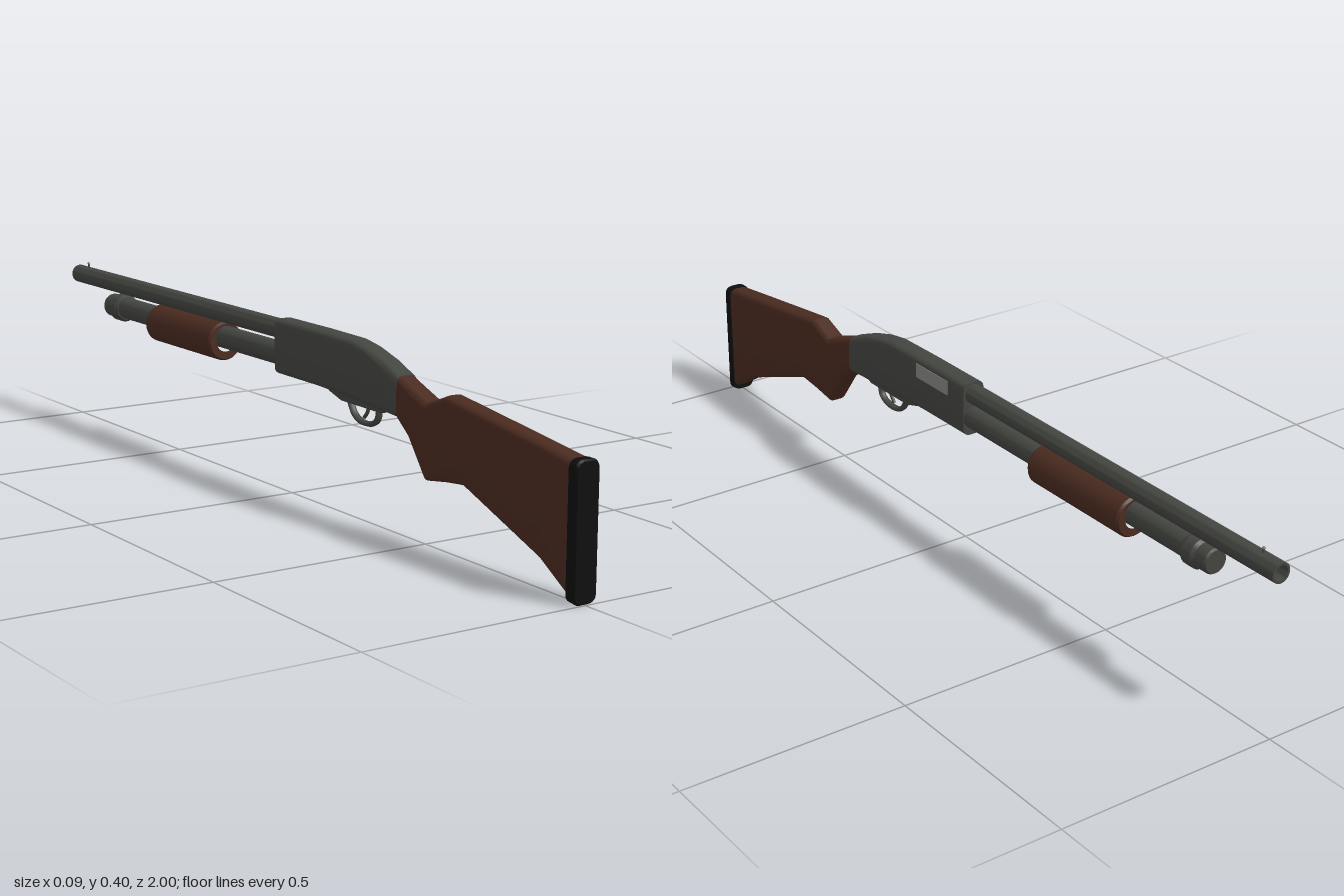
import * as THREE from 'three';
import { toCreasedNormals } from 'three/addons/utils/BufferGeometryUtils.js';

const material = (name, color) => Object.assign(new THREE.MeshStandardMaterial({ color }), { name });

// Rounded-rectangle sections along z: [z, bottom, top, halfWidth, cornerRadius]
function loft(stations) {
  const pos = [], idx = [], steps = 4, n = 4 * (steps + 1);
  for (const [z, y0, y1, w, r] of stations) {
    const corners = [[w - r, y1 - r], [r - w, y1 - r], [r - w, y0 + r], [w - r, y0 + r]];
    corners.forEach(([cx, cy], q) => {
      for (let i = 0; i <= steps; i++) {
        const a = (q + i / steps) * Math.PI / 2;
        pos.push(cx + r * Math.cos(a), cy + r * Math.sin(a), z);
      }
    });
  }
  const last = (stations.length - 1) * n;
  for (let s = 0; s < last; s += n) {
    for (let j = 0; j < n; j++) {
      const a = s + j, b = s + (j + 1) % n;
      idx.push(a, b, b + n, a, b + n, a + n);
    }
  }
  for (let j = 1; j < n - 1; j++) idx.push(0, j + 1, j, last, last + j, last + j + 1);
  const g = new THREE.BufferGeometry();
  g.setAttribute('position', new THREE.Float32BufferAttribute(pos, 3));
  g.setIndex(idx);
  return toCreasedNormals(g, 0.45);
}

// Turned part along z, profile points [radius, z]
function turned(profile, y, segments = 28) {
  const g = new THREE.LatheGeometry(profile.map(p => new THREE.Vector2(...p)), segments);
  return toCreasedNormals(g.rotateX(Math.PI / 2).translate(0, y, 0), 0.5);
}

// Rod bent in the x = 0 plane, points [z, y]
function bentRod(points, radius) {
  const curve = new THREE.CatmullRomCurve3(points.map(([z, y]) => new THREE.Vector3(0, y, z)));
  return new THREE.TubeGeometry(curve, 32, radius, 8);
}

export function createModel() {
  const metal = material('gunmetal', 0x434540);
  const wood = material('walnut', 0x4a2b20);
  const rubber = material('black rubber', 0x0e0e0e);
  const steel = material('bare steel', 0x858684);
  const group = new THREE.Group();
  group.name = 'pumpShotgun';
  const add = (name, geometry, mat) => {
    const mesh = new THREE.Mesh(geometry, mat);
    mesh.name = name;
    group.add(mesh);
    return mesh;
  };

  // Stock and butt pad
  add('stock', loft([
    [0.42, 0.252, 0.339, 0.025, 0.015],
    [0.47, 0.213, 0.32, 0.025, 0.015],
    [0.525, 0.139, 0.3, 0.025, 0.015],
    [0.59, 0.149, 0.325, 0.025, 0.015],
    [0.647, 0.155, 0.318, 0.025, 0.015],
    [0.89, 0.065, 0.287, 0.025, 0.015],
    [0.98, 0.01, 0.275, 0.025, 0.015],
  ]), wood);
  add('buttPad', loft([
    [0.976, 0.002, 0.277, 0.028, 0.017],
    [0.995, 0, 0.277, 0.028, 0.017],
    [1, 0.003, 0.274, 0.025, 0.015],
  ]), rubber);

  // Receiver with ejection port on the left side
  add('receiver', loft([
    [-0.03, 0.266, 0.388, 0.026, 0.015],
    [0.13, 0.265, 0.388, 0.026, 0.015],
    [0.26, 0.26, 0.386, 0.026, 0.015],
    [0.31, 0.257, 0.378, 0.026, 0.015],
    [0.37, 0.254, 0.361, 0.026, 0.015],
    [0.428, 0.25, 0.338, 0.0255, 0.015],
  ]), metal);
  add('ejectionPort', new THREE.BoxGeometry(0.004, 0.033, 0.12), steel)
    .position.set(0.0252, 0.358, 0.09);

  // Trigger group
  add('triggerPlate', loft([
    [0.165, 0.26, 0.275, 0.014, 0.004],
    [0.21, 0.247, 0.275, 0.014, 0.004],
    [0.355, 0.246, 0.275, 0.014, 0.004],
    [0.38, 0.254, 0.275, 0.014, 0.004],
  ]), metal);
  add('triggerGuard', bentRod([
    [0.335, 0.252], [0.328, 0.226], [0.306, 0.213], [0.265, 0.213], [0.243, 0.225], [0.225, 0.252],
  ], 0.006).scale(1.4, 1, 1), metal);
  add('trigger', bentRod([[0.295, 0.252], [0.291, 0.236], [0.279, 0.222]], 0.004), metal);

  // Barrel with open bore and bead sight
  add('barrel', turned([
    [0, -0.88], [0.0165, -0.88], [0.0165, -1], [0.0218, -1], [0.0218, 0],
  ], 0.362), metal);
  add('sightPost', new THREE.CylinderGeometry(0.002, 0.003, 0.012, 8), metal)
    .position.set(0, 0.387, -0.95);
  add('sightBead', new THREE.SphereGeometry(0.0035, 10, 8), steel).position.set(0, 0.393, -0.95);

  // Magazine tube, end cap and sliding fore-end
  add('magazineTube', turned([[0.026, -0.76], [0.026, 0]], 0.307), metal);
  add('magazineCap', turned([
    [0, -0.823], [0.025, -0.823], [0.028, -0.818], [0.028, -0.79], [0.033, -0.783],
    [0.033, -0.757], [0.028, -0.748], [0, -0.748],
  ], 0.306), metal);
  add('foreEnd', turned([
    [0.024, -0.58], [0.041, -0.58], [0.045, -0.574], [0.045, -0.286], [0.041, -0.28], [0.024, -0.28],
  ], 0.297), wood);

  return group;
}
